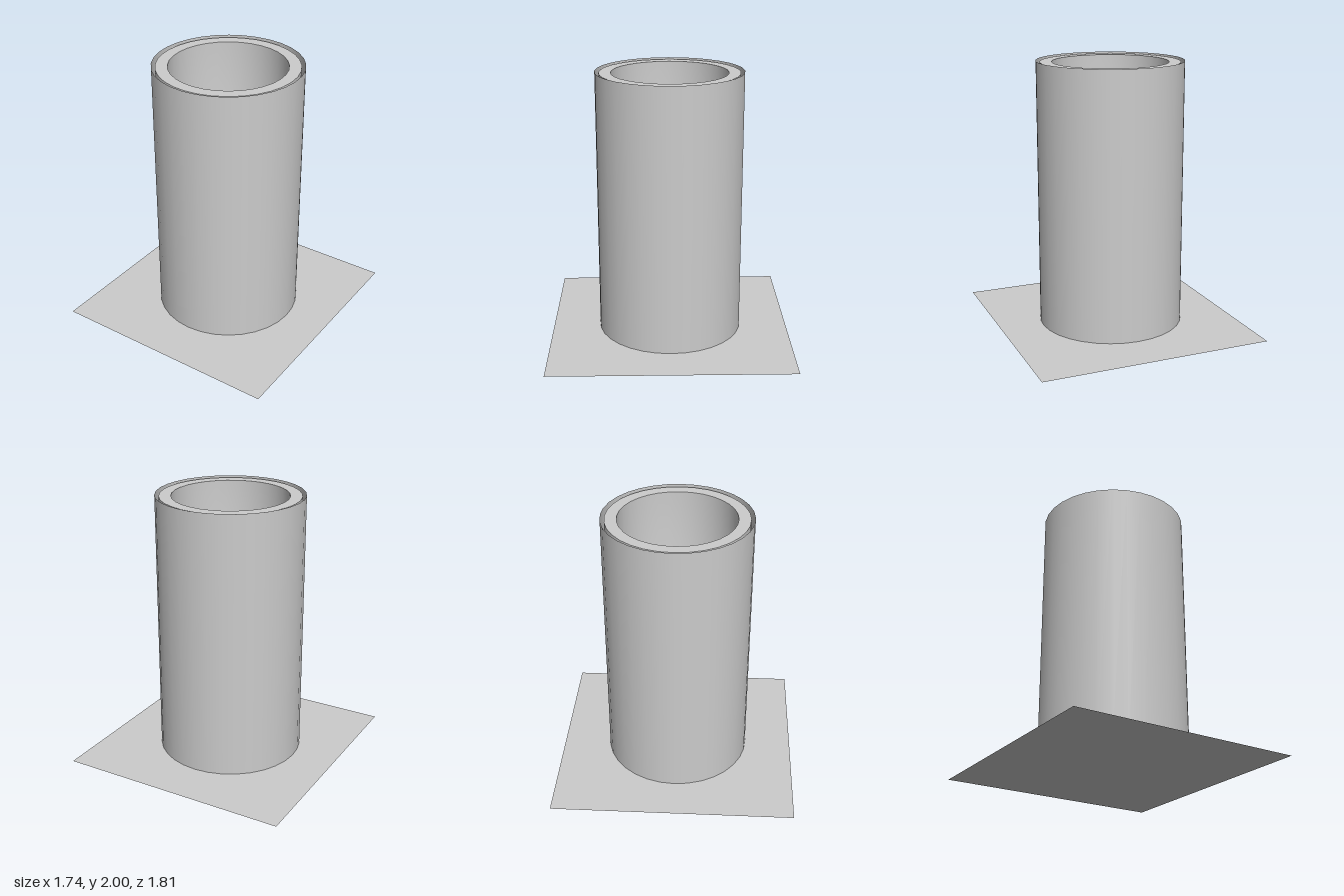
import * as THREE from 'three';
import { toCreasedNormals } from 'three/addons/utils/BufferGeometryUtils.js';

const SIDES = 32;

function addPart(group, name, geometry, options = {}) {
  const material = new THREE.MeshStandardMaterial({ color: 0xcccccc, ...options });
  const mesh = new THREE.Mesh(geometry, material);
  mesh.name = name;
  group.add(mesh);
  return mesh;
}

function lathe(points, sides) {
  return new THREE.LatheGeometry(points.map(([r, y]) => new THREE.Vector2(r, y)), sides);
}

export function createModel() {
  const group = new THREE.Group();
  group.name = 'candleOnGround';

  // Flat ground sheet
  const ground = addPart(group, 'ground', new THREE.PlaneGeometry(1.74, 1.81), { side: THREE.DoubleSide });
  ground.rotation.x = -Math.PI / 2;

  // Thin open sleeve around the candle
  const sleeve = new THREE.CylinderGeometry(0.547, 0.547, 2, SIDES, 1, true);
  addPart(group, 'sleeve', sleeve, { side: THREE.DoubleSide }).position.y = 1;

  // Candle body: outer wall, flat rim, hollow with a rounded floor
  const floorY = 1.4, hollow = 0.43, fillet = 0.13;
  const profile = [[0, 0.01], [0.518, 0.01], [0.518, 1.99], [hollow, 1.99]];
  for (let i = 0; i <= 6; i++) {
    const a = (i / 6) * Math.PI / 2;
    profile.push([hollow - fillet * (1 - Math.cos(a)), floorY + fillet * (1 - Math.sin(a))]);
  }
  profile.push([0, floorY]);
  addPart(group, 'candleBody', toCreasedNormals(lathe(profile, SIDES), 0.7));

  // Low-poly flame standing on the hollow's floor, slightly bent
  const flame = lathe([[0, 0], [0.045, 0.02], [0.077, 0.09], [0.07, 0.15], [0.04, 0.24], [0, 0.34]], 10);
  const pos = flame.attributes.position;
  for (let i = 0; i < pos.count; i++) {
    const t = Math.max(0, pos.getY(i) - 0.15);
    pos.setX(i, pos.getX(i) - 0.15 * t * t);
    pos.setZ(i, pos.getZ(i) - 0.3 * t * t);
  }
  flame.computeVertexNormals();
  addPart(group, 'flame', flame, { flatShading: true }).position.set(0, floorY, -0.025);

  return group;
}
